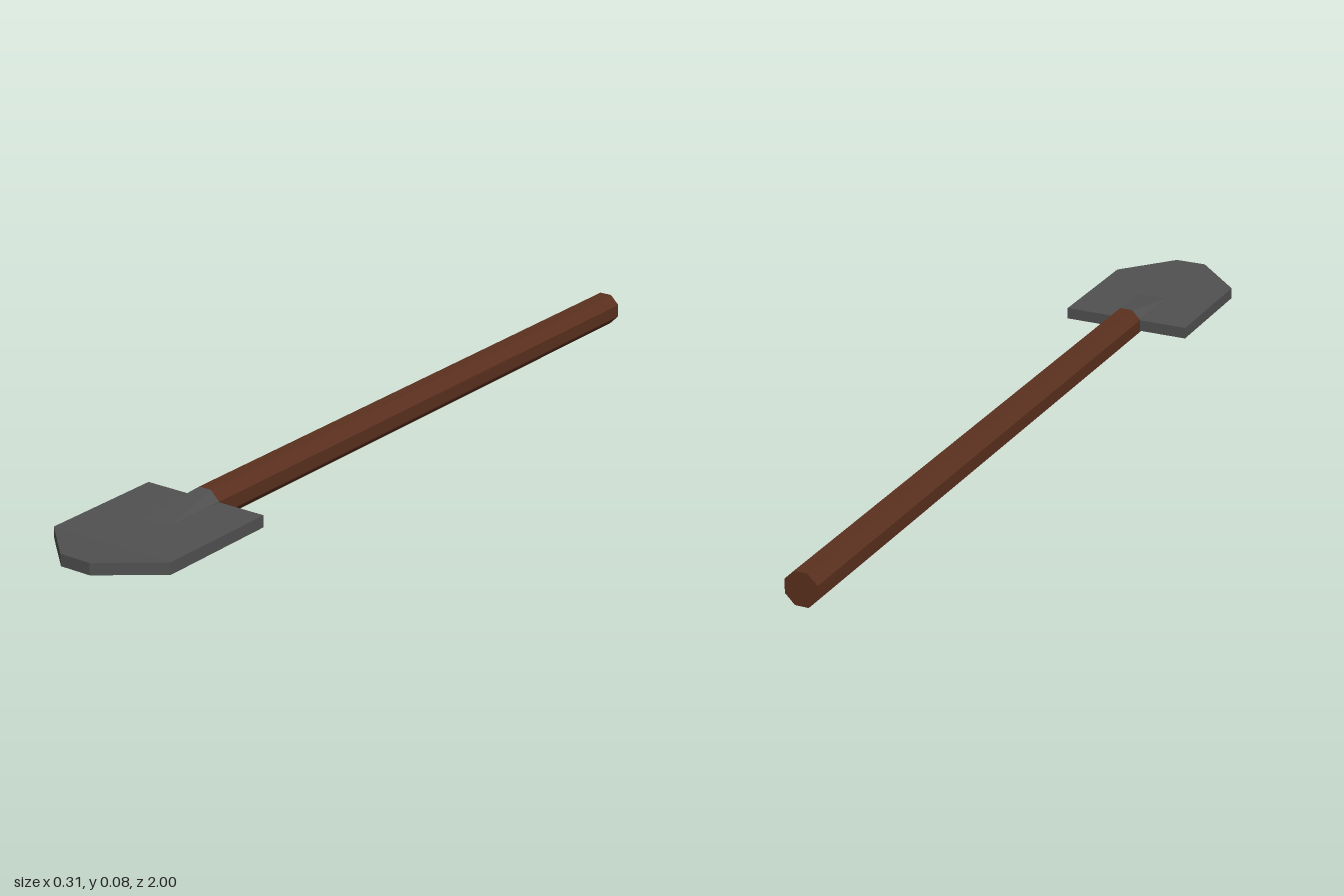
import * as THREE from 'three';

// Flat-shaded solid through matching rings, counter-clockwise seen from +z, ordered by rising z
function loft(rings) {
  const pos = [];
  const tri = (...pts) => pts.forEach((p) => pos.push(...p));
  const n = rings[0].length;
  for (let k = 0; k < rings.length - 1; k++) {
    const r0 = rings[k], r1 = rings[k + 1];
    for (let i = 0; i < n; i++) {
      const j = (i + 1) % n;
      tri(r0[i], r0[j], r1[j]);
      tri(r0[i], r1[j], r1[i]);
    }
  }
  // end caps
  const back = rings[0], front = rings[rings.length - 1];
  for (let i = 1; i < n - 1; i++) {
    tri(back[0], back[i + 1], back[i]);
    tri(front[0], front[i], front[i + 1]);
  }
  const geometry = new THREE.BufferGeometry();
  geometry.setAttribute('position', new THREE.Float32BufferAttribute(pos, 3));
  geometry.computeVertexNormals();
  return geometry;
}

const RADIUS = 0.0375; // handle centre to flat side
const SOCKET_Z = 0.59; // where the handle meets the blade

// Octagon with flats on top and sides
function octagon(z) {
  const r = RADIUS / Math.cos(Math.PI / 8);
  return Array.from({ length: 8 }, (_, i) => {
    const a = (i - 0.5) * Math.PI / 4;
    return [r * Math.cos(a), RADIUS + r * Math.sin(a), z];
  });
}

function rectangle(halfWidth, bottom, top, z) {
  return [[halfWidth, bottom, z], [halfWidth, top, z], [-halfWidth, top, z], [-halfWidth, bottom, z]];
}

export function createModel() {
  const group = new THREE.Group();
  group.name = 'shovel';

  const wood = new THREE.MeshStandardMaterial({ color: 0x5a301e });
  wood.name = 'brown wood';
  const metal = new THREE.MeshStandardMaterial({ color: 0x505050 });
  metal.name = 'dark metal';

  const add = (name, rings, material) => {
    const mesh = new THREE.Mesh(loft(rings), material);
    mesh.name = name;
    group.add(mesh);
  };

  add('handle', [octagon(-1), octagon(SOCKET_Z)], wood);

  // Blade: straight sides, then a narrowing, slightly raised tip
  add('blade', [
    rectangle(0.155, 0.025, 0.052, SOCKET_Z),
    rectangle(0.155, 0.025, 0.052, 0.89),
    rectangle(0.038, 0.033, 0.06, 1),
  ], metal);

  // Socket: each pair of octagon corners merges into one corner on the blade
  const end = rectangle(RADIUS, 0.025, 0.052, 0.755);
  const merged = [0, 1, 1, 2, 2, 3, 3, 0].map((i) => end[i]);
  add('socket', [octagon(SOCKET_Z), merged], metal);

  return group;
}
